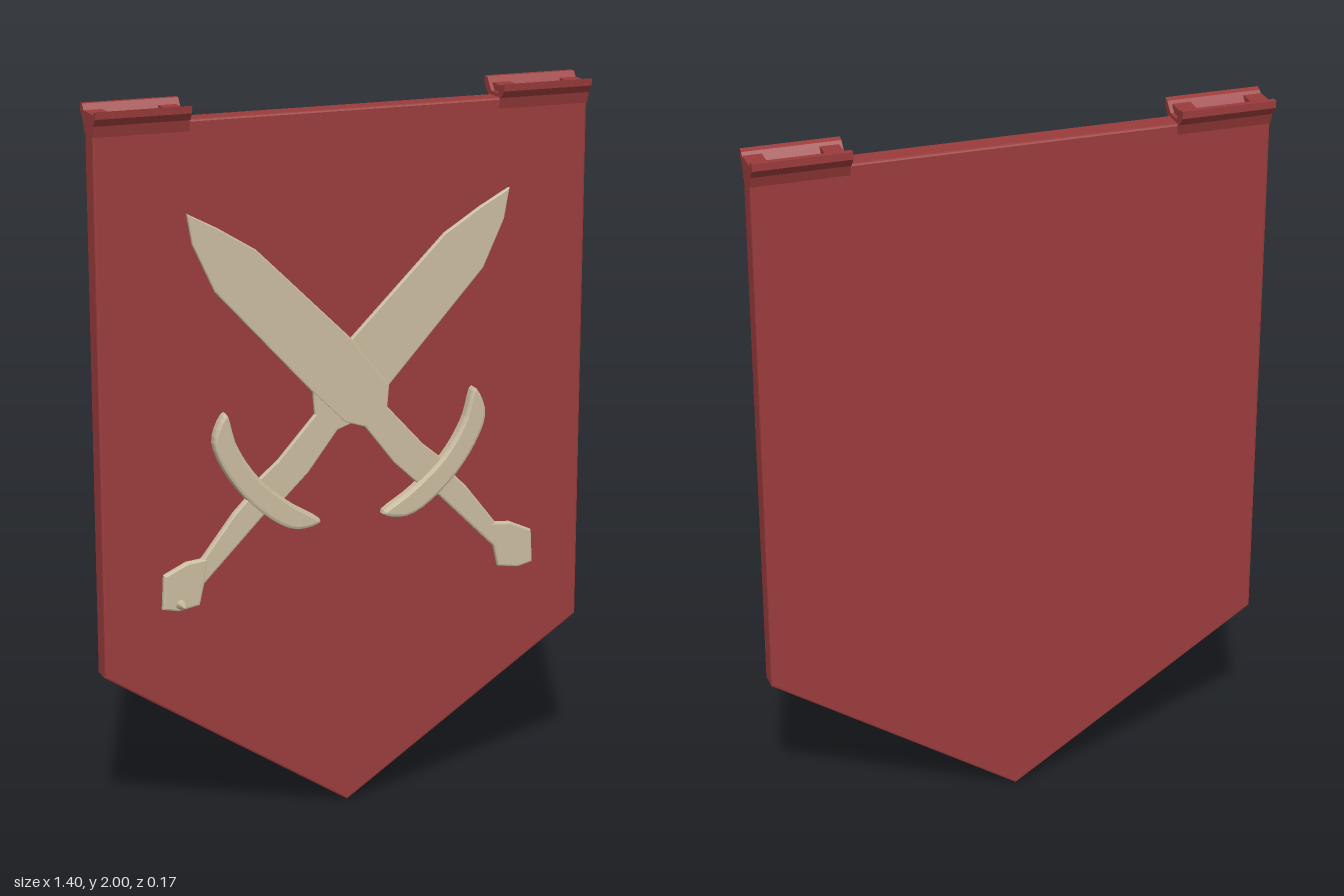
import * as THREE from 'three';

const red = new THREE.MeshStandardMaterial({ color: 0x9a3b3b });
red.name = 'banner red';
const bone = new THREE.MeshStandardMaterial({ color: 0xcabb9f });
bone.name = 'sword bone';

// Bevelled plate with the given outline, filling z0 to z1
function plate(name, outline, z0, z1, bevel, material) {
  const shape = outline instanceof THREE.Shape ? outline
    : new THREE.Shape(outline.map(([x, y]) => new THREE.Vector2(x, y)));
  const geometry = new THREE.ExtrudeGeometry(shape, {
    depth: z1 - z0 - 2 * bevel, bevelEnabled: bevel > 0, bevelThickness: bevel,
    bevelSize: bevel, bevelOffset: -bevel, bevelSegments: 2, curveSegments: 8,
  });
  geometry.translate(0, 0, z0 + bevel);
  const mesh = new THREE.Mesh(geometry, material);
  mesh.name = name;
  return mesh;
}

// Closed smooth outline through a few points
function smooth(points) {
  const curve = new THREE.CatmullRomCurve3(
    points.map(([x, y]) => new THREE.Vector3(x, y, 0)), true, 'centripetal');
  return new THREE.Shape(curve.getPoints(40).slice(0, -1).map(p => new THREE.Vector2(p.x, p.y)));
}

// Sword pointing to the upper right; z shifts the layer
function sword(name, z) {
  const group = new THREE.Group();
  group.name = name;
  group.add(plate('blade', [
    [0.46, 1.715], [0.375, 1.67], [0.27, 1.605], [0, 1.34], [-0.11, 1.2], [-0.105, 1.14],
    [-0.21, 1.025], [-0.30, 0.95], [-0.22, 0.89], [-0.125, 0.98], [-0.04, 1.09], [0.02, 1.11],
    [0.11, 1.2], [0.385, 1.5], [0.445, 1.63],
  ], 0.026 + z, 0.04 + z, 0.004, bone));
  group.add(plate('guard', smooth([
    [-0.36, 1.17], [-0.395, 1.10], [-0.365, 1.01], [-0.275, 0.895], [-0.165, 0.825],
    [-0.09, 0.84], [-0.175, 0.90], [-0.27, 0.985], [-0.33, 1.08],
  ]), 0.012 + z, 0.049 + z, 0.009, bone));
  group.add(plate('grip', [
    [-0.27, 0.96], [-0.34, 0.89], [-0.43, 0.775], [-0.47, 0.74], [-0.43, 0.70], [-0.22, 0.91],
  ], 0.022 + z, 0.044 + z, 0.006, bone));
  group.add(plate('pommel', [
    [-0.415, 0.775], [-0.475, 0.77], [-0.54, 0.74], [-0.545, 0.645], [-0.50, 0.635],
    [-0.44, 0.645], [-0.425, 0.71],
  ], 0.025 + z, 0.045 + z, 0.006, bone));
  return group;
}

// Flared, open trough on the top edge, on one side
function bracket(side) {
  const group = new THREE.Group();
  group.name = side > 0 ? 'leftBracket' : 'rightBracket';
  const profile = [
    [-0.012, 1.925], [0.055, 1.925], [0.066, 1.955], [0.088, 1.98], [0.088, 2], [0.072, 2],
    [0.045, 1.965], [0.002, 1.965], [-0.024, 1.99], [-0.038, 1.995], [-0.036, 1.975], [-0.02, 1.955],
  ];
  const trough = plate('trough', profile, -0.13, 0.13, 0, red);
  trough.rotation.y = Math.PI / 2;
  trough.position.x = side * 0.57;
  group.add(trough);
  // Raised ends inside the trough
  for (const x of [0.475, 0.675]) {
    const end = new THREE.Mesh(new THREE.BoxGeometry(0.05, 0.025, 0.075), red);
    end.name = 'troughEnd';
    end.position.set(side * x, 1.972, -0.025);
    group.add(end);
  }
  return group;
}

export function createModel() {
  const model = new THREE.Group();
  model.name = 'banner';

  // Pointed cloth panel
  model.add(plate('panel', [
    [-0.7, 1.955], [-0.7, 0.46], [0, 0], [0.7, 0.46], [0.7, 1.955],
  ], -0.055, 0.01, 0.006, red));
  model.add(bracket(1), bracket(-1));

  // Crossed swords, the second mirrored and a hair lower
  const front = sword('swordToLeft', 0);
  const back = sword('swordToRight', 0.0015);
  back.traverse(o => {
    if (!o.isMesh) return;
    // Mirror the geometry and restore the corner order
    o.geometry.scale(-1, 1, 1);
    const p = o.geometry.attributes.position;
    const a = new THREE.Vector3(), b = new THREE.Vector3();
    for (let i = 0; i < p.count; i += 3) {
      a.fromBufferAttribute(p, i + 1);
      b.fromBufferAttribute(p, i + 2);
      p.setXYZ(i + 1, b.x, b.y, b.z);
      p.setXYZ(i + 2, a.x, a.y, a.z);
    }
    o.geometry.computeVertexNormals();
  });
  model.add(front, back);

  // Mount behind the crossing
  model.add(plate('mount', [
    [0, 1.3], [-0.09, 1.2], [0, 1.12], [0.09, 1.2],
  ], 0.005, 0.03, 0, bone));

  // Small spur on one pommel
  const spur = new THREE.Mesh(new THREE.ConeGeometry(0.018, 0.045, 6), bone);
  spur.name = 'pommelSpur';
  spur.rotation.x = Math.PI / 2;
  spur.position.set(-0.495, 0.655, 0.06);
  model.add(spur);
  return model;
}
